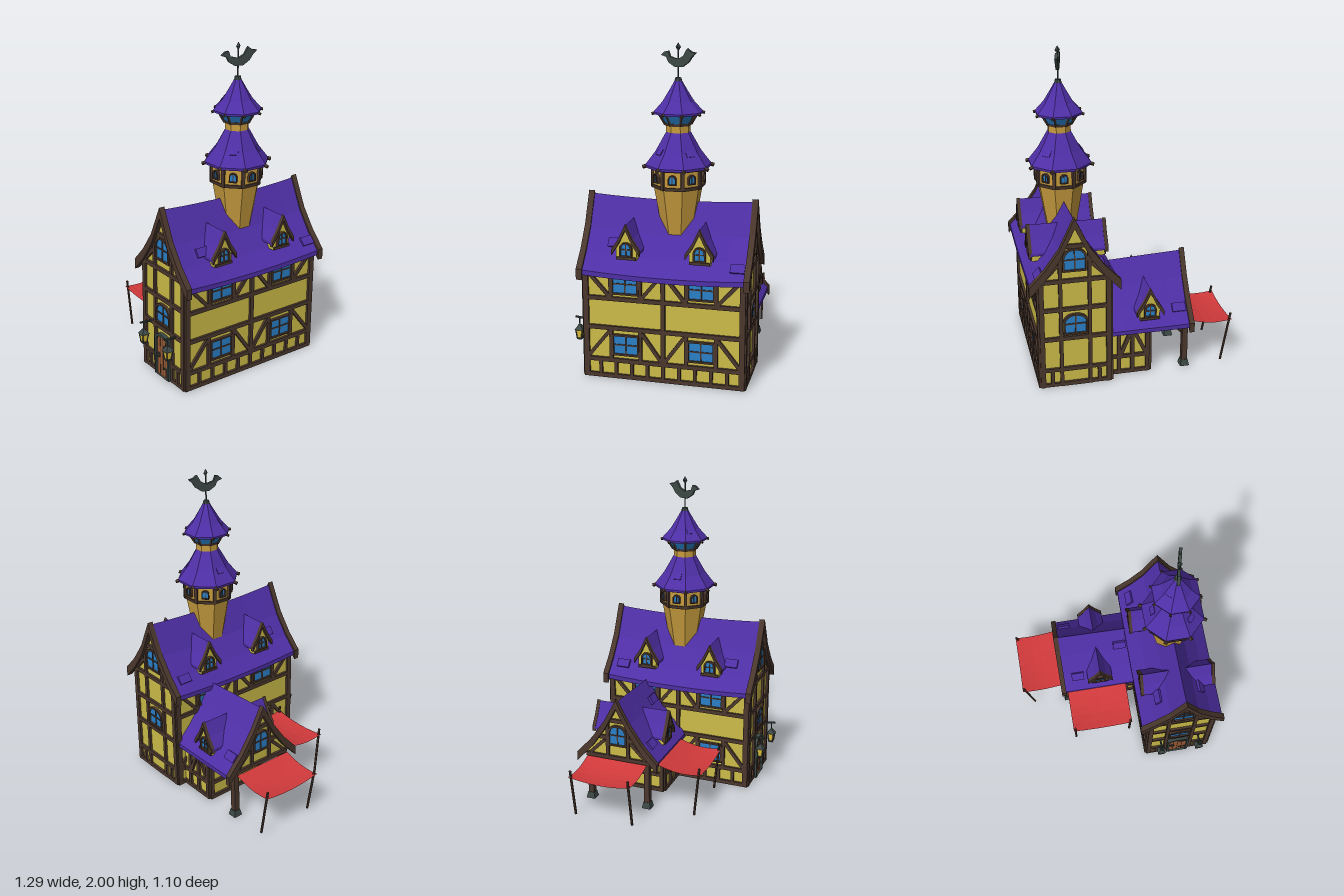
import * as THREE from 'three';

const mat = (name, color, extra = {}) => Object.assign(new THREE.MeshStandardMaterial({ color, flatShading: true, ...extra }), { name });
const M = {
  roof: mat('purple roof', 0x4f2fa6), wall: mat('yellow plaster', 0xccbc48), ochre: mat('ochre plaster', 0xc79c3e),
  wood: mat('dark timber', 0x4a372d), iron: mat('dark iron', 0x3c4845), glass: mat('blue glass', 0x2a80c8),
  cloth: mat('red cloth', 0xcf393b, { side: THREE.DoubleSide }), door: mat('door wood', 0x9a5a34), glow: mat('lamp yellow', 0xe6c63c),
};
const add = (parent, name, geo, m, x = 0, y = 0, z = 0) => {
  const mesh = new THREE.Mesh(geo, m);
  mesh.name = name; mesh.position.set(x, y, z); parent.add(mesh);
  return mesh;
};
const group = (parent, name, x = 0, y = 0, z = 0, ry = 0) => {
  const g = new THREE.Group();
  g.name = name; g.position.set(x, y, z); g.rotation.y = ry; parent.add(g);
  return g;
};
const box = (p, name, m, w, h, d, x, y, z) => add(p, name, new THREE.BoxGeometry(w, h, d), m, x, y, z);
const shapeOf = pts => new THREE.Shape(pts.map(([x, y]) => new THREE.Vector2(x, y)));
const extrude = (shape, z0, z1, steps = 1) =>
  new THREE.ExtrudeGeometry(shape, { depth: z1 - z0, steps, bevelEnabled: false, curveSegments: 6 }).translate(0, 0, z0);

// Round rod between two points
function rod(p, name, m, a, b, r, sides = 6) {
  const A = new THREE.Vector3(...a), B = new THREE.Vector3(...b), d = B.clone().sub(A);
  const mesh = add(p, name, new THREE.CylinderGeometry(r, r, d.length(), sides), m);
  mesh.position.copy(A).add(B).multiplyScalar(0.5);
  mesh.quaternion.setFromUnitVectors(new THREE.Vector3(0, 1, 0), d.normalize());
}
// Timber lying on a facade from (u1,v1) to (u2,v2)
function beam(f, u1, v1, u2, v2, w = 0.026, d = 0.026) {
  const b = box(f, 'timber', M.wood, Math.hypot(u2 - u1, v2 - v1), w, d, (u1 + u2) / 2, (v1 + v2) / 2, 0);
  b.rotation.z = Math.atan2(v2 - v1, u2 - u1);
}
const beams = (f, list, w) => list.forEach(b => beam(f, ...b, w));
const mirrored = (f, list, w) => { beams(f, list, w); beams(f, list.map(([a, b, c, d]) => [-a, b, -c, d]), w); };

// Opening outline, with an arched top when rise > 0
function opening(w, h, rise) {
  const s = new THREE.Shape().moveTo(-w / 2, 0).lineTo(w / 2, 0).lineTo(w / 2, h - rise);
  if (rise) s.quadraticCurveTo(w / 2 - 0.1 * w, h, 0, h).quadraticCurveTo(-w / 2 + 0.1 * w, h, -w / 2, h - rise);
  else s.lineTo(-w / 2, h);
  return s.closePath();
}
function windowAt(f, u, v, w, h, rise = 0, t = 0.011, rows = 1) {
  const g = group(f, 'window', u, v, 0);
  const frame = opening(w + 2 * t, h + 2 * t, rise);
  frame.holes.push(new THREE.Path(opening(w, h, rise).getPoints(6).map(p => p.add(new THREE.Vector2(0, t)))));
  add(g, 'window frame', extrude(frame, 0, 0.018), M.wood);
  add(g, 'window pane', extrude(opening(w, h, rise), 0, 0.007), M.glass, 0, t, 0);
  box(g, 'mullion', M.wood, t * 0.7, h, 0.012, 0, t + h / 2, 0.006);
  if (rows) box(g, 'glazing bar', M.wood, w, t * 0.7, 0.012, 0, t + h * 0.5, 0.006);
}

// Roof profiles: [distance from ridge, height]
const MAIN = [[0, 1.09], [0.09, 0.9], [0.18, 0.775], [0.265, 0.685]];
const WING = [[0, 0.705], [0.08, 0.555], [0.17, 0.425], [0.265, 0.32]];
const DORMER = [[0, 0.2], [0.04, 0.115], [0.085, 0.045]];
function yAt(pts, d) {
  let i = 1;
  while (i < pts.length - 1 && pts[i][0] < d) i++;
  const [a, b] = [pts[i - 1], pts[i]];
  return a[1] + (b[1] - a[1]) * (d - a[0]) / (b[0] - a[0]);
}
function band(pts, up, down) {
  const line = [...pts.slice(1).reverse().map(([d, y]) => [-d, y]), ...pts];
  return shapeOf([...line.map(([x, y]) => [x, y - down]), ...line.reverse().map(([x, y]) => [x, y + up])]);
}
function gable(pts, w, base, drop) {
  const side = [...pts.filter(p => p[0] > 0 && p[0] < w), [w, yAt(pts, w)]].reverse().map(([d, y]) => [d, y - drop]);
  return shapeOf([[-w, base], [w, base], ...side, [0, pts[0][1] - drop], ...side.reverse().map(([d, y]) => [-d, y])]);
}
function bend(geo, rule) {
  const p = geo.attributes.position;
  for (let i = 0; i < p.count; i++) p.setY(i, p.getY(i) + rule(p.getX(i), p.getY(i), p.getZ(i)));
  geo.computeVertexNormals();
  return geo;
}
// Raised loose shingles: d from ridge (signed), z along ridge
function shingles(g, pts, list, lower) {
  for (const [d, z] of list) {
    const a = Math.abs(d), slope = Math.atan2(yAt(pts, a - 0.03) - yAt(pts, a + 0.03), 0.06);
    const s = box(g, 'shingle', M.roof, 0.055, 0.022, 0.085, d, yAt(pts, a) - lower + 0.006, z);
    s.rotation.z = -Math.sign(d) * slope;
  }
}
function dormer(parent, x, y, z, ry) {
  const g = group(parent, 'dormer', x, y, z, ry);
  add(g, 'dormer wall', extrude(gable(DORMER, 0.062, -0.01, 0.008), -0.2, 0), M.wall);
  add(g, 'dormer roof', extrude(band(DORMER, 0.004, 0.014), -0.2, 0.01), M.roof);
  add(g, 'dormer bargeboard', extrude(band(DORMER, 0.009, 0.025), 0, 0.022), M.wood);
  windowAt(g, 0, 0.01, 0.058, 0.07, 0.03, 0.009);
  beam(g, -0.06, 0, 0.06, 0, 0.016, 0.02);
}

function mainHouse(root) {
  const g = group(root, 'main house', 0.36, 0, -0.03);
  add(g, 'house wall', extrude(gable(MAIN, 0.215, 0, 0.02), -0.485, 0.485), M.wall);
  add(g, 'main roof', bend(extrude(band(MAIN, 0, 0.03), -0.5, 0.5, 8), (x, y, z) => -0.018 * (1 - 4 * z * z)), M.roof);
  for (const z of [-0.52, 0.48]) add(g, 'bargeboard', extrude(band([...MAIN.slice(0, 3), [0.275, 0.675]], 0.016, 0.05), z, z + 0.036), M.wood);
  shingles(g, MAIN, [[-0.14, 0.34], [0.14, 0.31], [0.21, -0.44], [-0.2, -0.4]], 0.008);
  // Long sides
  for (const s of [-1, 1]) {
    const f = group(g, 'side facade', s * 0.217, 0, 0, s * Math.PI / 2);
    beams(f, [0.013, 0.115, 0.32, 0.505, 0.675].map(y => [-0.49, y, 0.49, y]));
    beam(f, 0, 0.115, 0, 0.68);
    mirrored(f, [[0.475, 0, 0.475, 0.69]], 0.034);
    for (let i = -4; i <= 4; i++) beam(f, i * 0.097, 0.01, i * 0.097, 0.115, 0.02);
    mirrored(f, [[0.14, 0.115, 0.14, 0.32], [0.32, 0.115, 0.32, 0.32], [0.14, 0.505, 0.14, 0.68], [0.32, 0.505, 0.32, 0.68],
      [0.01, 0.67, 0.13, 0.52], [0.465, 0.67, 0.33, 0.52], [0.01, 0.13, 0.13, 0.3], [0.465, 0.13, 0.33, 0.3]], 0.022);
    for (const u of [-0.23, 0.23]) for (const v of [0.15, 0.535]) windowAt(f, u, v, 0.145, 0.112);
    for (const z of [0.22, -0.22]) dormer(g, s * 0.222, 0.762, z, s * Math.PI / 2);
  }
  // Gable ends
  for (const s of [1, -1]) {
    const f = group(g, s > 0 ? 'front facade' : 'back facade', 0, 0, s * 0.487, s > 0 ? 0 : Math.PI);
    mirrored(f, [[0.203, 0, 0.203, 0.72]], 0.03);
    mirrored(f, [[0.088, 0, 0.088, 0.88], [0.088, 0.115, 0.2, 0.115], [0.088, 0.013, 0.2, 0.013],
      [0.19, 0.72, 0.1, 0.81], [0.145, 0.01, 0.145, 0.115]], 0.022);
    beams(f, [[-0.21, 0.325, 0.21, 0.325], [-0.21, 0.52, 0.21, 0.52], [-0.21, 0.705, 0.21, 0.705], [-0.07, 0.925, 0.07, 0.925]]);
    windowAt(f, 0, 0.35, 0.125, 0.115, 0.04);
    windowAt(f, 0, 0.765, 0.125, 0.125, 0.05);
    if (s < 0) { beams(f, [[-0.09, 0.115, 0.09, 0.115], [-0.09, 0.013, 0.09, 0.013]]); continue; }
    // Door and hanging lanterns
    const frame = opening(0.148, 0.288, 0.04);
    frame.holes.push(new THREE.Path(opening(0.12, 0.272, 0.035).getPoints(6)));
    add(f, 'door frame', extrude(frame, 0, 0.025), M.iron);
    add(f, 'door', extrude(opening(0.12, 0.272, 0.035), 0, 0.012), M.door);
    for (const x of [-0.03, 0, 0.03]) box(f, 'door plank gap', M.wood, 0.004, 0.25, 0.004, x, 0.13, 0.012);
    for (const y of [0.06, 0.21]) box(f, 'door hinge', M.iron, 0.05, 0.01, 0.006, 0.034, y, 0.014);
    add(f, 'door ring', new THREE.TorusGeometry(0.014, 0.004, 5, 10), M.iron, -0.04, 0.135, 0.018);
    for (const x of [-0.13, 0.13]) {
      const l = group(f, 'lantern', x, 0, 0.065);
      rod(l, 'lantern arm', M.iron, [0, 0.325, -0.065], [0, 0.335, 0.025], 0.007);
      rod(l, 'lantern hook', M.iron, [0, 0.335, 0], [0, 0.27, 0], 0.004);
      add(l, 'lantern cap', new THREE.CylinderGeometry(0.01, 0.038, 0.03, 4).rotateY(Math.PI / 4), M.iron, 0, 0.27, 0);
      add(l, 'lantern glass', new THREE.CylinderGeometry(0.028, 0.018, 0.055, 4).rotateY(Math.PI / 4), M.glow, 0, 0.228, 0);
      add(l, 'lantern base', new THREE.CylinderGeometry(0.025, 0.02, 0.012, 4).rotateY(Math.PI / 4), M.iron, 0, 0.197, 0);
      for (const a of [-1, 1]) for (const b of [-1, 1])
        rod(l, 'lantern bar', M.iron, [a * 0.014, 0.2, b * 0.014], [a * 0.021, 0.258, b * 0.021], 0.004, 4);
    }
  }
}

function wing(root) {
  // Local z runs toward -x
  const g = group(root, 'side wing', 0, 0, -0.245, -Math.PI / 2);
  box(g, 'wing lower wall', M.wall, 0.42, 0.32, 0.265, 0, 0.16, -0.0175);
  add(g, 'wing upper wall', extrude(gable(WING, 0.215, 0.3, 0.03), -0.14, 0.352), M.wall);
  add(g, 'wing roof', bend(extrude(band(WING, 0, 0.028), -0.2, 0.365, 5), (x, y, z) => (z - 0.365) * 0.12 * (y - 0.3)), M.roof);
  add(g, 'wing bargeboard', extrude(band([...WING.slice(0, 3), [0.275, 0.31]], 0.016, 0.045), 0.355, 0.387), M.wood);
  shingles(g, WING, [[-0.19, 0.305], [0.19, 0.26], [0.07, -0.05]], 0.004);
  for (const s of [-1, 1]) {
    dormer(g, s * 0.235, 0.375, 0.11, s * Math.PI / 2);
    const f = group(g, 'wing facade', s * 0.212, 0, 0, s * Math.PI / 2);
    const k = -s; // local u flips with the side
    beams(f, [[-0.36, 0.31, 0.36, 0.31].map((v, i) => i === 0 ? k * 0.355 : i === 2 ? -k * 0.14 : v), [k * 0.115, 0.12, -k * 0.14, 0.12],
      [k * 0.115, 0.013, -k * 0.14, 0.013], [k * 0.1, 0, k * 0.1, 0.32], [k * 0.005, 0, k * 0.005, 0.32], [-k * 0.08, 0, -k * 0.08, 0.32],
      [k * 0.09, 0.13, k * 0.015, 0.29], [-k * 0.07, 0.13, -k * 0.005, 0.29]], 0.024);
    // Porch posts on stone feet
    box(g, 'porch post', M.wood, 0.036, 0.31, 0.036, s * 0.195, 0.155, 0.345);
    add(g, 'post foot', new THREE.CylinderGeometry(0.03, 0.042, 0.04, 4).rotateY(Math.PI / 4), M.iron, s * 0.195, 0.02, 0.345);
    rod(g, 'post brace', M.wood, [s * 0.195, 0.22, 0.345], [s * 0.195, 0.3, 0.265], 0.012, 4);
  }
  const e = group(g, 'wing gable facade', 0, 0, 0.354);
  beams(e, [[-0.22, 0.315, 0.22, 0.315], [-0.13, 0.45, -0.06, 0.45], [0.06, 0.45, 0.13, 0.45], [-0.06, 0.57, 0.06, 0.57]]);
  mirrored(e, [[0.07, 0.315, 0.07, 0.55], [0.19, 0.33, 0.09, 0.43]], 0.022);
  windowAt(e, 0, 0.4, 0.105, 0.12, 0.045);
  const low = group(g, 'wing end facade', 0, 0, 0.116);
  beams(low, [[-0.21, 0.013, 0.21, 0.013], [-0.21, 0.12, 0.21, 0.12], [0, 0, 0, 0.3], [-0.2, 0, -0.2, 0.3], [0.2, 0, 0.2, 0.3]]);
}

// Sagging cloth, local +z runs from the wall outward
function awning(root, x, z, ry, w, depth, lean) {
  const g = group(root, 'awning', x, 0, z, ry);
  const geo = new THREE.PlaneGeometry(w, depth, 6, 5).rotateX(-Math.PI / 2).translate(0, 0.31, depth / 2);
  add(g, 'awning cloth', bend(geo, (px, py, pz) => {
    const t = pz / depth, u = 2 * px / w;
    return -0.025 * t - 0.02 * Math.sin(Math.PI * t) - 0.02 * t * (1 - u * u);
  }), M.cloth);
  for (const s of [-1, 1])
    rod(g, 'awning pole', M.wood, [s * (w / 2 - 0.012), 0, depth - 0.01 - lean], [s * (w / 2 - 0.012), 0.325, depth - 0.008], 0.008);
}

function tower(root) {
  const g = group(root, 'tower', 0.36, 0, -0.07);
  const oct = (name, m, rt, rb, y0, y1) => add(g, name, new THREE.CylinderGeometry(rt, rb, y1 - y0, 8).rotateY(Math.PI / 8), m, 0, (y0 + y1) / 2, 0);
  const cone = (name, pts) => add(g, name, new THREE.LatheGeometry(pts.map(p => new THREE.Vector2(...p)), 8, Math.PI / 8), M.roof);
  oct('tower shaft', M.ochre, 0.147, 0.09, 0.85, 1.17);
  oct('tower room', M.ochre, 0.152, 0.152, 1.165, 1.29);
  oct('room sill ring', M.wood, 0.162, 0.158, 1.16, 1.18);
  oct('room head ring', M.wood, 0.162, 0.162, 1.27, 1.29);
  cone('lower tower roof', [[0, 1.285], [0.195, 1.28], [0.197, 1.295], [0.135, 1.375], [0.09, 1.455], [0.07, 1.49]]);
  oct('tower neck', M.ochre, 0.072, 0.072, 1.47, 1.535);
  oct('neck ring', M.wood, 0.082, 0.078, 1.525, 1.54);
  oct('lookout glass', M.glass, 0.115, 0.076, 1.535, 1.6);
  oct('lookout head ring', M.wood, 0.125, 0.121, 1.588, 1.6);
  cone('upper tower roof', [[0, 1.6], [0.145, 1.592], [0.146, 1.605], [0.092, 1.665], [0.055, 1.725], [0.02, 1.785]]);
  for (let i = 0; i < 8; i++) {
    const a = group(g, 'tower corner', 0, 0, 0, (i + 0.5) * Math.PI / 4);
    box(a, 'room post', M.wood, 0.02, 0.12, 0.02, 0, 1.225, 0.152);
    rod(a, 'roof rib end', M.wood, [0, 1.3, 0.15], [0, 1.283, 0.212], 0.012, 4);
    rod(a, 'lookout post', M.wood, [0, 1.53, 0.076], [0, 1.6, 0.117], 0.008, 4);
    rod(a, 'upper rib end', M.wood, [0, 1.607, 0.11], [0, 1.594, 0.156], 0.009, 4);
    const f = group(g, 'tower face', 0, 0, 0, i * Math.PI / 4);
    const w = group(f, 'room window', 0, 0, 0.1405);
    windowAt(w, 0, 1.197, 0.036, 0.045, 0.018, 0.006, 0);
  }
  for (const [a, y, r] of [[0.8, 1.375, 0.132], [2.4, 1.37, 0.132], [4.7, 1.37, 0.135], [5.5, 1.66, 0.09]]) {
    const f = group(g, 'tower shingle', 0, 0, 0, Math.round(a / (Math.PI / 4)) * Math.PI / 4);
    box(f, 'shingle', M.roof, 0.05, 0.04, 0.016, 0, y, r * 0.93).rotation.x = -0.65;
  }
  // Weathervane
  oct('finial cap', M.iron, 0.018, 0.026, 1.765, 1.8);
  rod(g, 'vane rod', M.iron, [0, 1.79, 0], [0, 1.98, 0], 0.005);
  add(g, 'vane tip', new THREE.OctahedronGeometry(0.016).scale(1, 1.6, 1), M.iron, 0, 1.974, 0);
  const bird = shapeOf([[0.107, 1.925], [0.085, 1.945], [0.062, 1.95], [0.05, 1.918], [0, 1.905], [-0.035, 1.925], [-0.06, 1.968],
    [-0.085, 1.95], [-0.115, 1.945], [-0.088, 1.918], [-0.07, 1.89], [-0.03, 1.862], [0.02, 1.86], [0.06, 1.885], [0.075, 1.915]]);
  add(g, 'vane bird', extrude(bird, -0.009, 0.009), M.iron).rotation.y = -1.81;
}

export function createModel() {
  const root = new THREE.Group();
  root.name = 'timbered house';
  mainHouse(root);
  wing(root);
  tower(root);
  awning(root, -0.38, -0.245, -Math.PI / 2, 0.41, 0.275, 0.055);
  awning(root, -0.14, 0.015, 0, 0.41, 0.285, 0.03);
  return root;
}
